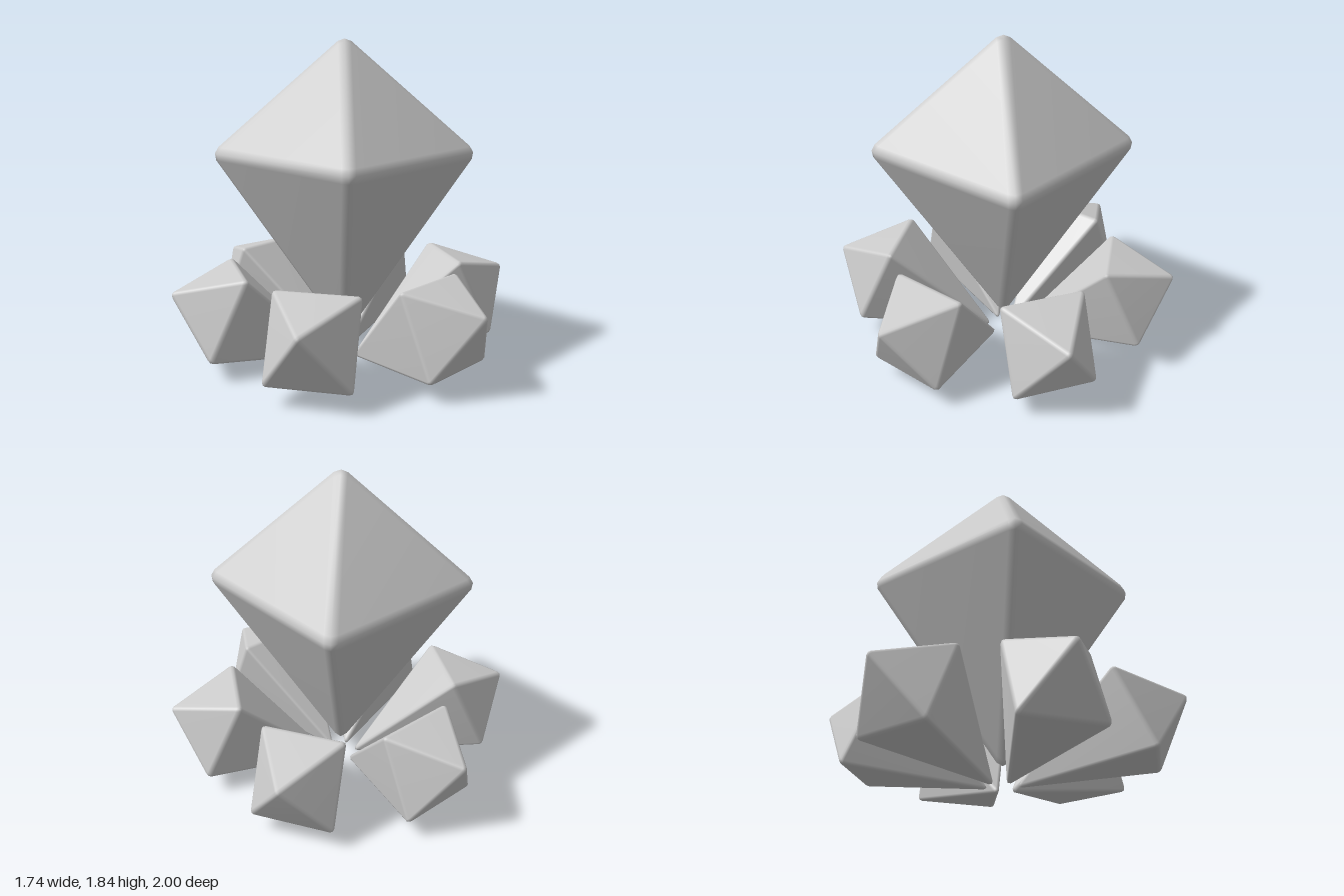
import * as THREE from 'three';
import { ConvexGeometry } from 'three/addons/geometries/ConvexGeometry.js';
import { mergeVertices } from 'three/addons/utils/BufferGeometryUtils.js';

const V = (x, y, z) => new THREE.Vector3(x, y, z);
const average = (pts) => pts.reduce((s, p) => s.add(p), V(0, 0, 0)).divideScalar(pts.length);

// Rounded points replacing one sharp corner; neighbours are listed in order around it
function roundCorner(corner, neighbours, bevel) {
  const dirs = neighbours.map((n) => n.clone().sub(corner).normalize());
  const n = dirs.length;
  const reach = dirs.map((u, i) => bevel / Math.sin(u.angleTo(dirs[(i + 1) % n])));
  // one inset point per adjoining face
  const facePts = dirs.map((u, i) =>
    corner.clone().addScaledVector(u, reach[i]).addScaledVector(dirs[(i + 1) % n], reach[i]));
  // one point per adjoining edge, halfway out to the sharp edge
  const edgePts = dirs.map((u, i) => {
    const j = (i + n - 1) % n;
    const sharp = corner.clone().addScaledVector(u, (reach[i] + reach[j]) / 2);
    return average([facePts[i], facePts[j]]).lerp(sharp, 0.5);
  });
  return [...facePts, ...edgePts, average(facePts).lerp(corner, 0.45)];
}

// Four-sided double pyramid with rounded edges
function crystalGeometry(tip, root, ring, bevel) {
  const points = [...roundCorner(tip, ring, bevel), ...roundCorner(root, ring, bevel)];
  ring.forEach((c, i) => {
    points.push(...roundCorner(c, [tip, ring[(i + 1) % 4], root, ring[(i + 3) % 4]], bevel));
  });
  const hull = new ConvexGeometry(points);
  hull.deleteAttribute('normal');
  const geometry = mergeVertices(hull, 1e-5);
  geometry.computeVertexNormals(); // area weighting keeps the large faces flat
  return geometry;
}

export function createModel() {
  const group = new THREE.Group();
  const material = new THREE.MeshStandardMaterial({ color: 0xcccccc });

  // Large upright crystal
  const a = 0.546, h = 1.206;
  const main = new THREE.Mesh(
    crystalGeometry(V(0, 1.88, 0), V(0, 0.07, 0),
      [V(a, h, a), V(a, h, -a), V(-a, h, -a), V(-a, h, a)], 0.045),
    material);
  main.name = 'centralCrystal';
  group.add(main);

  // Six small crystals leaning outwards around the base
  const w = 0.245;
  const small = crystalGeometry(V(0, 0.464, 1.012), V(0, -0.004, 0.06),
    [V(w, 0.574, 0.622), V(w, 0.115, 0.833), V(-w, 0.115, 0.833), V(-w, 0.574, 0.622)], 0.018);
  for (let i = 0; i < 6; i++) {
    const crystal = new THREE.Mesh(small, material);
    crystal.name = `baseCrystal${i + 1}`;
    crystal.rotation.y = (i * Math.PI) / 3;
    group.add(crystal);
  }
  return group;
}
